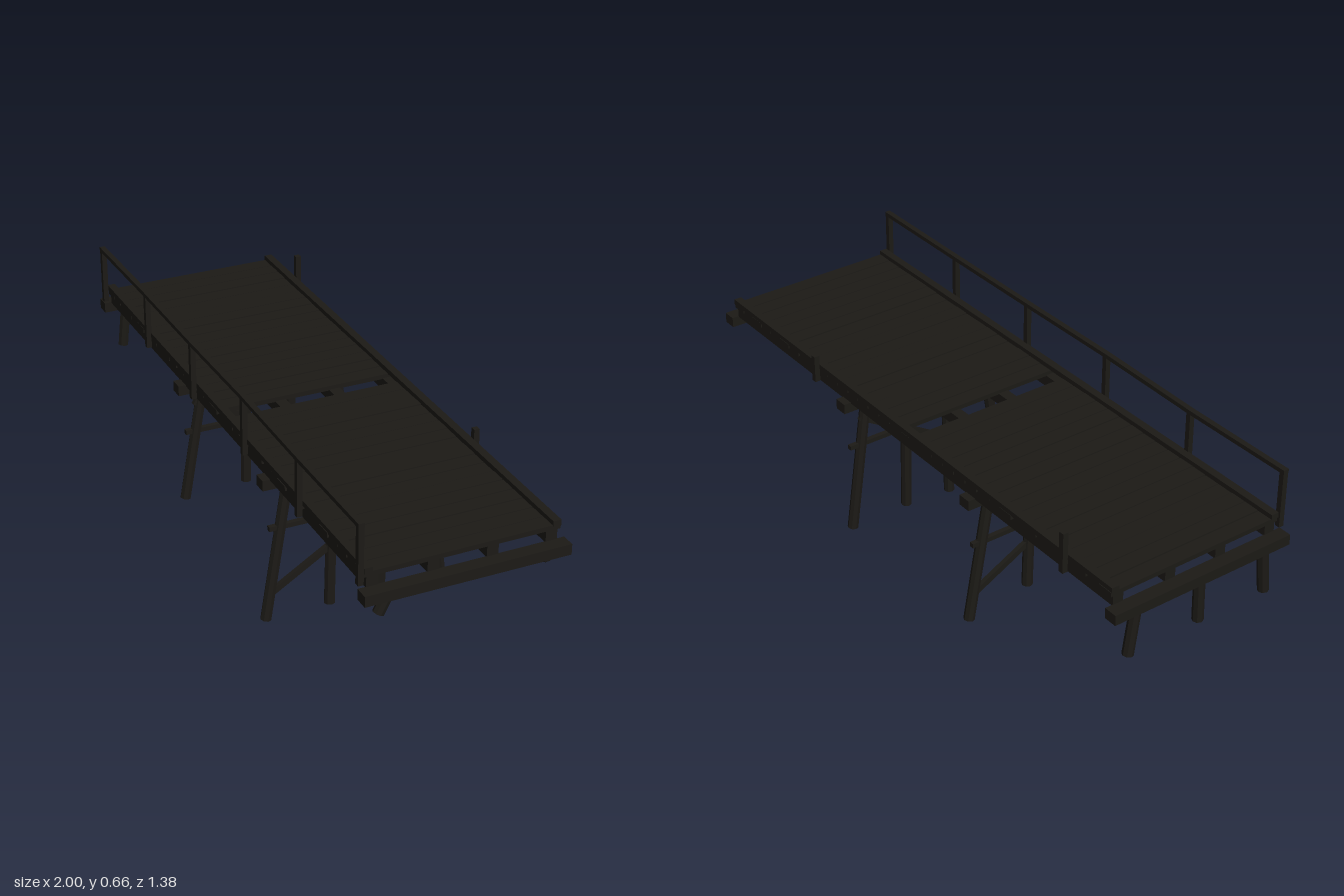
import * as THREE from 'three';

const wood = new THREE.MeshStandardMaterial({ color: 0x1c1a16, flatShading: true });

// Local frame: x runs along the bridge, z across it, y up.
export function createModel() {
  const bridge = new THREE.Group();
  bridge.name = 'woodenTrestleBridge';

  const box = (name, w, h, d, x, y, z, parent = bridge) => {
    const m = new THREE.Mesh(new THREE.BoxGeometry(w, h, d), wood);
    m.name = name;
    m.position.set(x, y, z);
    parent.add(m);
    return m;
  };
  // Stretch a mesh built along y between two points
  const between = (name, geo, a, b, parent) => {
    const m = new THREE.Mesh(geo, wood);
    m.name = name;
    m.position.copy(a).add(b).multiplyScalar(0.5);
    m.quaternion.setFromUnitVectors(new THREE.Vector3(0, 1, 0), b.clone().sub(a).normalize());
    parent.add(m);
  };
  const pole = (name, a, b, r, parent) =>
    between(name, new THREE.CylinderGeometry(r, r, a.distanceTo(b), 8), a, b, parent);
  const beam = (name, a, b, w, d, parent = bridge) =>
    between(name, new THREE.BoxGeometry(w, a.distanceTo(b), d), a, b, parent);
  const V = (x, y, z) => new THREE.Vector3(x, y, z);

  let seed = 7;
  const rand = () => (seed = (seed * 16807) % 2147483647) / 2147483647 - 0.5;

  // Deck planks with one missing in the middle
  const count = 35, pitch = 1.86 / count;
  const deck = new THREE.Group();
  deck.name = 'deck';
  bridge.add(deck);
  for (let i = 0; i < count; i++) {
    if (i === 17) continue;
    const x = (i - 17) * pitch;
    const plank = box('plank', pitch - 0.003 + rand() * 0.003, 0.014, 0.565 + rand() * 0.012,
      x, 0.509 + rand() * 0.002, rand() * 0.006, deck);
    plank.rotation.y = rand() * 0.004;
  }

  // Stringers under the deck and curbs along its edges
  for (const z of [-0.26, -0.086, 0.086, 0.26]) box('stringer', 1.85, 0.036, 0.034, 0, 0.486, z);
  for (const s of [-1, 1]) box('curb', 1.86, 0.016, 0.024, 0, 0.522, s * 0.273);

  // Trestles: cap beam, legs as [top z, bottom z, bottom y], and bracing
  const trestle = (name, x, legs, brace) => {
    const g = new THREE.Group();
    g.name = name;
    bridge.add(g);
    box('capBeam', 0.042, 0.032, 0.6, x, 0.455, 0, g);
    for (const [zt, zb, yb] of legs) pole('leg', V(x, yb, zb), V(x, 0.45, zt), 0.0165, g);
    if (!brace) return;
    box('crossTie', 0.015, 0.014, 0.55, x, 0.302, 0, g);
    beam('diagonalBrace', V(x, ...brace[0]), V(x, ...brace[1]), 0.014, 0.018, g);
  };
  trestle('leftEndTrestle', 0.944, [[0.225, 0.252, 0.398], [-0.23, -0.238, 0.434]]);
  trestle('leftTrestle', 0.308,
    [[0.215, 0.286, 0.005], [0.078, 0.086, 0.008], [-0.07, -0.076, 0.02], [-0.212, -0.274, 0.014]],
    [[0.09, 0.268], [0.395, -0.235]]);
  trestle('rightTrestle', -0.31,
    [[0.215, 0.281, 0.076], [0.075, 0.08, 0.09], [-0.07, -0.078, 0.083], [-0.215, -0.285, 0.049]],
    [[0.13, -0.276], [0.4, 0.245]]);
  trestle('rightEndTrestle', -0.944, [[0.222, 0.237, 0.305], [0, 0.003, 0.31], [-0.215, -0.236, 0.305]]);

  // Railing along the front edge
  const rail = new THREE.Group();
  rail.name = 'railing';
  bridge.add(rail);
  const tops = [];
  for (let i = 0; i < 6; i++) {
    const x = -0.925 + i * 0.369;
    const z = 0.293 + rand() * 0.006;
    box('railPost', 0.016, 0.178, 0.016, x, 0.57, z, rail);
    tops.push(V(x, 0.657 + (i === 2 || i === 3 ? 0.003 : 0), z));
  }
  for (let i = 0; i < 5; i++) {
    const dir = tops[i + 1].clone().sub(tops[i]).normalize().multiplyScalar(0.009);
    beam('handrail', tops[i].clone().sub(dir), tops[i + 1].clone().add(dir), 0.013, 0.017, rail);
  }

  // Broken posts left on the back edge
  box('brokenPost', 0.017, 0.125, 0.017, -0.74, 0.5375, -0.293);
  box('brokenPost', 0.017, 0.085, 0.017, 0.448, 0.5175, -0.293);

  // The bridge crosses at an angle
  bridge.rotation.y = -0.447;
  const root = new THREE.Group();
  root.name = 'bridge';
  root.add(bridge);
  return root;
}
